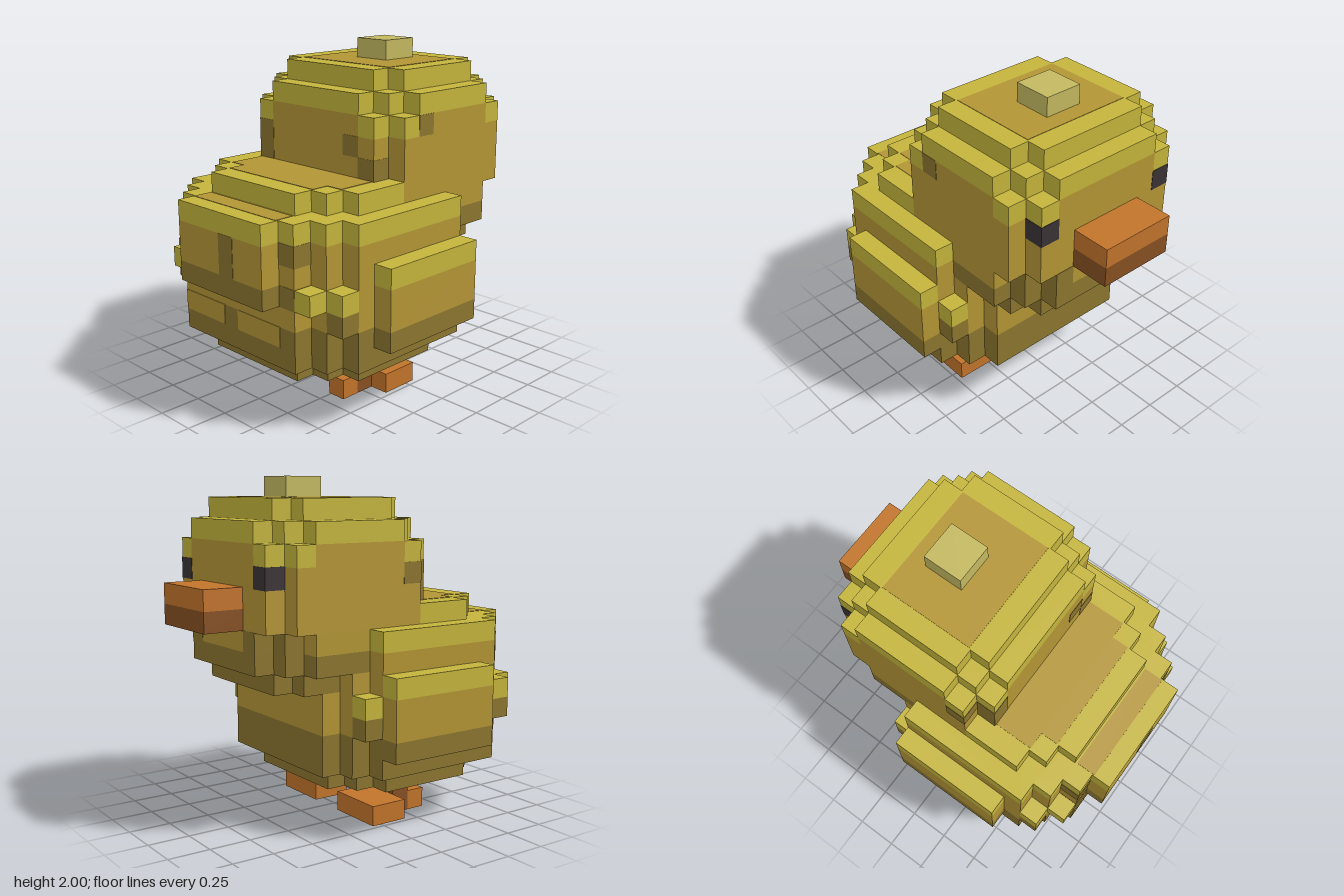
import * as THREE from 'three';

const U = 2 / 17; // one block

const mat = (name, color) => {
  const m = new THREE.MeshStandardMaterial({ color });
  m.name = name;
  return m;
};

export function createModel() {
  const yellow = mat('yellow', 0xc4b43c), tan = mat('tan', 0xb39535), dark = mat('olive brown', 0x8b752f);
  const orange = mat('orange', 0xc2742b), brown = mat('dark orange', 0x875023);
  const pale = mat('pale yellow', 0xc3b860), black = mat('eye black', 0x3a3236);

  const model = new THREE.Group();
  model.name = 'blockBird';
  const part = (name) => {
    const g = new THREE.Group();
    g.name = name;
    model.add(g);
    return g;
  };

  // Block-unit box; z is counted from the beak tip, grow pushes painted blocks just proud
  const box = (parent, name, m, [x0, x1], [y0, y1], [z0, z1], grow = 0) => {
    const g = new THREE.BoxGeometry((x1 - x0 + grow) * U, (y1 - y0 + grow) * U, (z1 - z0 + grow) * U);
    g.translate((x0 + x1) / 2 * U, (y0 + y1) / 2 * U, ((z0 + z1) / 2 - 8.5) * U);
    const mesh = new THREE.Mesh(g, m);
    mesh.name = name;
    parent.add(mesh);
  };
  const pair = (parent, name, m, [a, b], y, z, grow = 0) => {
    box(parent, name + 'Left', m, [a, b], y, z, grow);
    box(parent, name + 'Right', m, [-b, -a], y, z, grow);
  };

  // Horizontal slab with stepped corners; steps run [halfWidth, zFront, zBack] narrow to wide
  const slab = (parent, name, m, y0, y1, steps) => {
    const half = [];
    const add = (x, z) => {
      const p = half[half.length - 1];
      if (!p || p[0] !== x || p[1] !== z) half.push([x, z]);
    };
    steps.forEach(([x, , z1], i) => {
      if (i) add(steps[i - 1][0], z1);
      add(x, z1);
    });
    for (let i = steps.length - 1; i >= 0; i--) {
      add(steps[i][0], steps[i][1]);
      if (i) add(steps[i - 1][0], steps[i][1]);
    }
    const outline = [...half, ...half.map(([x, z]) => [-x, z]).reverse()];
    const shape = new THREE.Shape(outline.map(([x, z]) => new THREE.Vector2(x * U, (8.5 - z) * U)));
    const g = new THREE.ExtrudeGeometry(shape, { depth: (y1 - y0) * U, bevelEnabled: false });
    g.rotateX(-Math.PI / 2).translate(0, y0 * U, 0);
    const mesh = new THREE.Mesh(g, m);
    mesh.name = name;
    parent.add(mesh);
  };

  // Body, bottom to top
  const body = part('body');
  const full = [[4, 5, 16], [5, 6, 15], [6, 7, 14]];
  const upper = [[4, 7, 16], [5, 7, 15], [6, 7, 14]];
  slab(body, 'belly', dark, 2, 3, [[3, 6, 15], [4, 7, 14], [5, 8, 13]]);
  slab(body, 'lowerBody', dark, 3, 5, full);
  slab(body, 'middleBody', tan, 5, 7, full);
  slab(body, 'shoulders', tan, 7, 8, [[4, 6, 16], [5, 6, 15], [6, 7, 14]]);
  slab(body, 'upperBody', tan, 8, 9, upper);
  slab(body, 'upperRim', yellow, 9, 10, upper);
  slab(body, 'back', yellow, 10, 11, [[3, 10, 15], [4, 10, 14], [5, 10, 13]]);
  box(body, 'backPatch', tan, [-3.9, 3.9], [10.98, 11.02], [10.5, 13]);
  box(body, 'backPatchRear', tan, [-3, 3], [10.98, 11.02], [13, 13.9]);

  // Corner blocks around the body
  for (const z of [[6, 7], [14, 15]]) {
    pair(body, 'sideCornerLow', dark, [5, 6], [5, 6], z);
    pair(body, 'sideCornerTop', yellow, [5, 6], [6, 7], z);
  }
  pair(body, 'rearCorner', yellow, [4, 5], [6, 7], [15, 16]);
  pair(body, 'rearCornerSpot', dark, [3, 4], [8, 9], [15, 16], 0.03);
  pair(body, 'rearUnderTail', dark, [3, 4], [6, 7], [15, 16], 0.03);
  box(body, 'rearPatchLeft', tan, [0, 3], [4, 5], [15.98, 16.03]);
  box(body, 'rearPatchRight', tan, [-4, -1], [4, 5], [15.98, 16.03]);

  // Wings
  const wings = part('wings');
  pair(wings, 'wingBottom', dark, [6, 7], [4, 5], [7, 13]);
  pair(wings, 'wingMiddle', tan, [6, 7], [5, 7], [7, 13]);
  pair(wings, 'wingTop', yellow, [6, 7], [7, 8], [7, 13]);

  // Tail
  const tail = part('tail');
  box(tail, 'tailBottom', dark, [-3, 3], [6, 7], [16, 17]);
  box(tail, 'tailMiddle', tan, [-3, 3], [7, 9], [16, 17]);
  box(tail, 'tailTop', yellow, [-3, 3], [9, 10], [16, 17]);
  box(tail, 'tailSpot', dark, [0, 1], [7, 9], [16.98, 17.02]);
  box(tail, 'tailPatch', tan, [-2.95, 2.95], [9.98, 10.02], [15.1, 16.1]);

  // Head, bottom to top
  const head = part('head');
  const cut = [[3, 2, 11], [4, 3, 10], [5, 4, 9]];
  slab(head, 'chin', dark, 7, 8, [[3, 3, 10], [4, 4, 9]]);
  slab(head, 'jaw', dark, 8, 9, cut);
  slab(head, 'cheeks', tan, 9, 10, cut);
  slab(head, 'face', tan, 10, 13, [[4, 2, 11], [5, 3, 10]]);
  slab(head, 'brow', tan, 13, 14, cut);
  slab(head, 'crownRim', yellow, 14, 15, cut);
  slab(head, 'crown', yellow, 15, 16, [[3, 3, 10], [4, 4, 9]]);
  box(head, 'crownPatch', tan, [-2.95, 2.95], [15.98, 16.02], [4.1, 8.9]);
  for (const [x, z] of [[3, 2], [4, 3], [4, 9], [3, 10]]) {
    pair(head, 'browCorner', yellow, [x, x + 1], [13, 14], [z, z + 1]);
  }
  pair(head, 'jawCorner', dark, [3, 4], [9, 10], [3, 4], 0.03);
  pair(head, 'jawFront', dark, [2, 3], [9, 10], [2, 3], 0.03);

  // Spots on the head
  pair(head, 'napeSpot', dark, [3, 4], [11, 12], [10, 11], 0.03);
  box(head, 'napeSpotHigh', dark, [-4, -3], [12, 13], [10, 11], 0.03);
  box(head, 'napeSpotSide', dark, [-5, -4], [12, 13], [9, 10], 0.03);
  box(head, 'napeSpotSmall', dark, [2, 3], [12, 13], [10.98, 11.02]);
  box(head, 'templeSpot', dark, [4.98, 5.02], [13, 14], [8, 9]);

  // Eyes, beak and tuft
  pair(head, 'eye', black, [3, 4], [12, 13], [2, 3], 0.04);
  box(head, 'upperBeak', orange, [-2, 2], [11, 12], [0, 2]);
  box(head, 'lowerBeak', brown, [-2, 2], [10, 11], [0, 2]);
  box(head, 'tuft', pale, [-1, 1], [16, 17], [5, 7]);

  // Legs and feet
  const legs = part('legs');
  box(legs, 'legLeft', orange, [2, 3], [1, 2], [10, 11]);
  box(legs, 'legRight', brown, [-3, -2], [1, 2], [10, 11]);
  pair(legs, 'toes', orange, [1, 4], [0, 1], [8, 10]);
  pair(legs, 'ankle', brown, [2, 3], [0, 1], [10, 11]);
  pair(legs, 'heel', orange, [2, 3], [0, 1], [11, 12]);

  return model;
}
